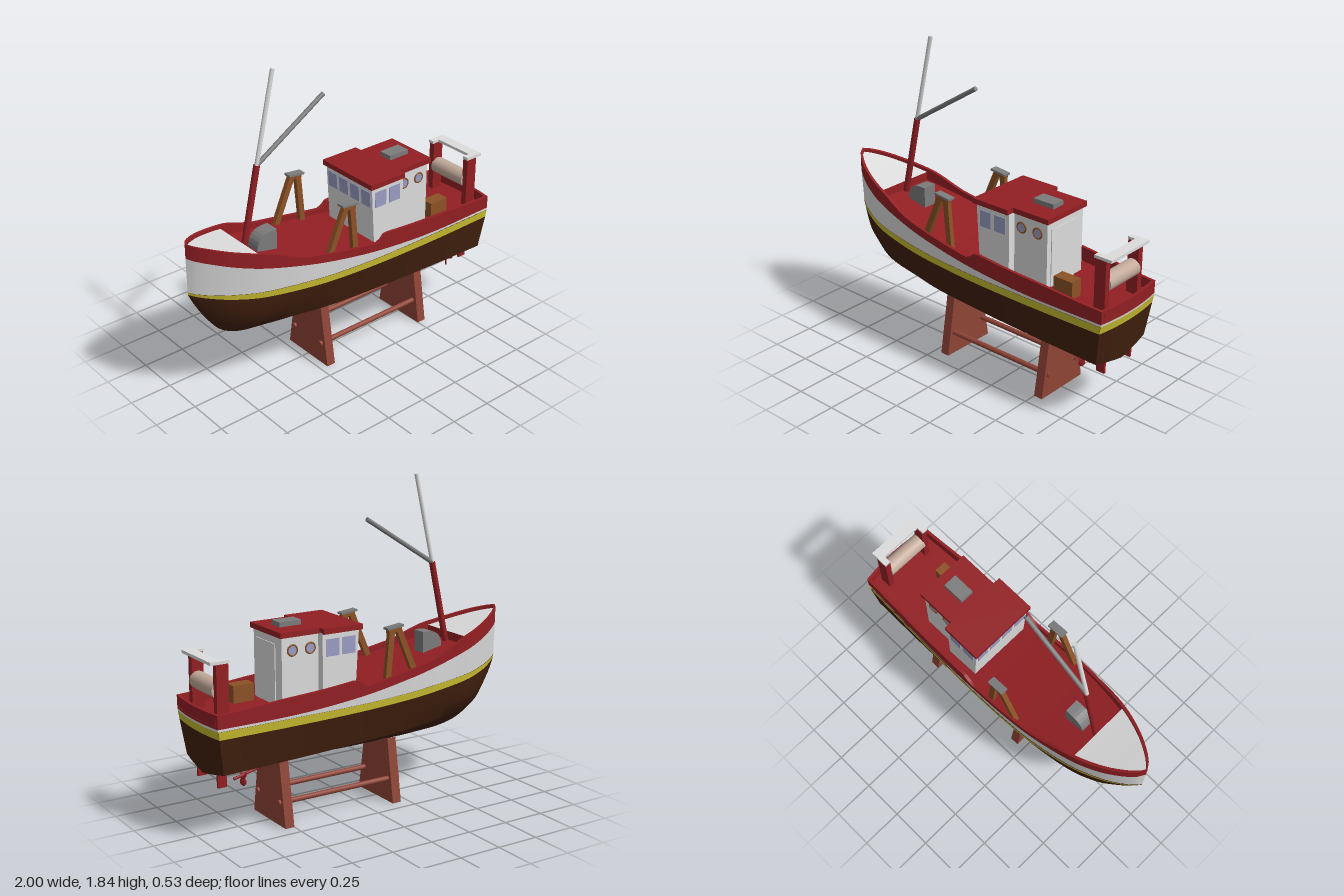
import * as THREE from 'three';
import { toCreasedNormals } from 'three/addons/utils/BufferGeometryUtils.js';

const paint = (name, color) => new THREE.MeshStandardMaterial({ name, color });
const V = (x, y, z) => new THREE.Vector3(x, y, z);

// Hull stations: x, keel y, chine y, chine z, band low y, band high y, white top y, beam z, band z
const STATIONS = [
  [-1, .725, .725, 0, .725, .74, .945, 0, 0],
  [-.97, .66, .67, .012, .715, .732, .935, .045, .032],
  [-.9, .54, .57, .035, .70, .722, .915, .10, .085],
  [-.8, .42, .49, .075, .68, .71, .885, .155, .138],
  [-.65, .355, .45, .125, .66, .695, .845, .207, .193],
  [-.4, .333, .44, .172, .642, .682, .79, .25, .242],
  [-.2, .328, .43, .20, .627, .667, .75, .264, .257],
  [.1, .326, .42, .215, .612, .653, .70, .266, .262],
  [.5, .333, .405, .22, .60, .645, .662, .257, .255],
  [1, .345, .39, .215, .59, .635, .648, .235, .235],
];

// Smooth interpolation between stations
function station(x) {
  const n = STATIONS.length;
  let i = 0;
  while (i < n - 2 && x > STATIONS[i + 1][0]) i++;
  const a = STATIONS[i], b = STATIONS[i + 1];
  const p = STATIONS[Math.max(0, i - 1)], q = STATIONS[Math.min(n - 1, i + 2)];
  const h = b[0] - a[0], t = (x - a[0]) / h, t2 = t * t, t3 = t2 * t;
  const [, keel, chine, chineZ, low, high, top, beam, bandZ] = a.map((v, k) =>
    (2 * t3 - 3 * t2 + 1) * v + (t3 - 2 * t2 + t) * h * (b[k] - p[k]) / (b[0] - p[0])
    + (3 * t2 - 2 * t3) * b[k] + (t3 - t2) * h * (q[k] - a[k]) / (q[0] - a[0]));
  // Bulwark is high at the bow, low amidships and raised again aft
  const rim = top + .085 - .037 * THREE.MathUtils.smoothstep(x, -.64, -.38)
    + .05 * THREE.MathUtils.smoothstep(x, .08, .15) - .022 * THREE.MathUtils.smoothstep(x, .5, 1);
  return { x, keel, chine, chineZ, low, high, top, beam, bandZ, rim };
}

// Hull point, with the raked and slightly rounded stern
function P(x, y, z) {
  const w = THREE.MathUtils.smoothstep(x, .5, 1);
  return V(x - w * (.16 * Math.max(0, .66 - y) + .38 * z * z), y, z);
}

// Surface through a grid of points
function skin(rows, flip) {
  const m = rows[0].length, pos = [], idx = [];
  rows.forEach(r => r.forEach(p => pos.push(p.x, p.y, p.z)));
  for (let i = 0; i < rows.length - 1; i++) for (let j = 0; j < m - 1; j++) {
    const a = i * m + j, b = a + m, c = b + 1, d = a + 1;
    idx.push(...(flip ? [a, c, b, a, d, c] : [a, b, c, a, c, d]));
  }
  const g = new THREE.BufferGeometry();
  g.setAttribute('position', new THREE.Float32BufferAttribute(pos, 3));
  g.setIndex(idx);
  return toCreasedNormals(g, .5);
}

function extrude(points, depth) {
  const g = new THREE.ExtrudeGeometry(new THREE.Shape(points.map(p => new THREE.Vector2(...p))),
    { depth, bevelEnabled: false });
  return g.translate(0, 0, -depth / 2);
}

export function createModel() {
  const boat = new THREE.Group();
  boat.name = 'fishingBoat';
  const red = paint('deck red', 0x921f23), white = paint('white', 0xdcdcdc);
  const brown = paint('hull brown', 0x41200e), yellow = paint('band yellow', 0xc6bb30);
  const wood = paint('wood', 0x8c5226), grey = paint('metal grey', 0x7c7c7c);
  const tan = paint('drum tan', 0xc2aa9a), standRed = paint('stand red brown', 0x8f4436);
  const glass = paint('window blue', 0x9a9dc4);
  [red, white, brown, yellow].forEach(m => { m.side = THREE.DoubleSide; });

  const add = (name, geo, mat, x = 0, y = 0, z = 0, parent = boat) => {
    const mesh = new THREE.Mesh(geo, mat);
    mesh.name = name;
    mesh.position.set(x, y, z);
    parent.add(mesh);
    return mesh;
  };
  // Box given by its limits
  const box = (name, mat, x0, x1, y0, y1, z0, z1) => add(name, new THREE.BoxGeometry(x1 - x0, y1 - y0, z1 - z0),
    mat, (x0 + x1) / 2, (y0 + y1) / 2, (z0 + z1) / 2);
  // Stretch a part between two points
  const between = (name, mat, a, b, make) => {
    const d = b.clone().sub(a), mid = a.clone().add(b).multiplyScalar(.5);
    const mesh = add(name, make(d.length()), mat, mid.x, mid.y, mid.z);
    mesh.quaternion.setFromUnitVectors(V(0, 1, 0), d.normalize());
  };
  const pole = (name, mat, a, b, r) => between(name, mat, a, b, l => new THREE.CylinderGeometry(r, r, l, 16));
  const beam = (name, mat, a, b, w, d) => between(name, mat, a, b, l => new THREE.BoxGeometry(w, l, d));

  // Hull sides, in coloured strips
  const xs = [-1, -.99, -.98];
  for (let i = 0; i <= 66; i++) xs.push(-.97 + 1.97 * i / 66);
  const hull = xs.map(station), T = .018;
  const deckY = s => s.top + .015;
  const strips = [
    ['hullBottom', brown, s => [[s.keel, 0], [s.chine, s.chineZ], [(s.chine + s.low) / 2, (s.chineZ + s.bandZ) / 2
      + .022 * Math.min(1, (1 + s.x) * 5) * (1 - THREE.MathUtils.smoothstep(s.x, -.7, 0))], [s.low, s.bandZ]]],
    ['waterlineBand', yellow, s => [[s.low, s.bandZ], [s.high, s.bandZ + .003]]],
    ['topsides', white, s => [[s.high, s.bandZ], [s.top, s.beam]]],
    ['bulwark', red, s => [[s.top, s.beam], [s.rim, s.beam], [s.rim, Math.max(0, s.beam - T)],
      [deckY(s), Math.max(0, s.beam - T)]]],
  ];
  for (const [name, mat, section] of strips) for (const side of [1, -1])
    add(name, skin(hull.map(s => section(s).map(([y, z]) => P(s.x, y, z * side))), side < 0), mat);

  // Transom, with the same colour strips
  const e = station(1), across = [1, .75, .5, .25, 0, -.25, -.5, -.75, -1];
  const transom = (name, mat, levels, x = 1) =>
    add(name, skin(across.map(t => levels.map(([y, z, v = 0]) => P(x, y - v * (1 - Math.abs(t)), z * t)))), mat);
  transom('transomBottom', brown, [[e.chine, e.chineZ, e.chine - e.keel], [e.chine, e.chineZ], [e.low, e.bandZ]]);
  transom('transomBand', yellow, [[e.low, e.bandZ], [e.high, e.bandZ]]);
  transom('transomTopsides', white, [[e.high, e.bandZ], [e.top, e.beam]]);
  transom('sternBulwark', red, [[e.top, e.beam], [e.rim, e.beam]]);
  transom('sternBulwarkInside', red, [[e.rim, e.beam], [deckY(e), e.beam]], 1 - T);
  add('sternBulwarkCap', skin(across.map(t => [P(1, e.rim, e.beam * t), P(1 - T, e.rim, e.beam * t)])), red);

  // Working deck and raised white foredeck
  const deckRow = (s, y) => across.map(t => P(s.x, y, Math.max(0, s.beam - T / 2) * t));
  const step = station(-.65);
  add('deck', skin([step, ...hull.filter(s => s.x > -.65)].map(s => deckRow(s, deckY(s)))), red);
  add('foredeck', skin([...hull.filter(s => s.x < -.65), step].map(s => deckRow(s, s.rim - .02))), white);
  add('foredeckBulkhead', skin([deckRow(step, step.rim - .02), deckRow(step, deckY(step))]), red);

  // Mast, topmast and boom
  pole('mast', red, V(-.64, .84, 0), V(-.532, 1.33, 0), .018);
  pole('topmast', white, V(-.535, 1.32, 0), V(-.415, 1.84, 0), .012);
  pole('boom', grey, V(-.53, 1.33, 0), V(-.085, 1.61, 0), .013);

  // Winch housing with a rounded forward side
  const hood = [[-.445, .79], [-.445, .937], [-.49, .937]];
  for (let i = 1; i <= 6; i++) {
    const a = i / 6 * Math.PI / 2;
    hood.push([-.49 - .085 * Math.sin(a), .852 + .085 * Math.cos(a)]);
  }
  add('winchHousing', extrude([...hood, [-.575, .79]], .085), grey, 0, 0, -.0);

  // Gallows on both sides
  for (const s of [1, -1]) {
    const z = s * .235;
    beam('gallowsSlantedLeg', wood, V(-.25, .76, z), V(-.13, 1.04, z), .035, .028);
    beam('gallowsUprightLeg', wood, V(-.06, .73, z), V(-.088, 1.04, z), .035, .028);
    beam('gallowsHead', wood, V(-.15, 1.037, z), V(-.065, 1.027, z), .02, .03);
    beam('gallowsCap', grey, V(-.16, 1.055, s * .232), V(-.055, 1.043, s * .232), .012, .046);
  }

  // Wheelhouse: wide raked front part and narrower rear part
  add('wheelhouseFront', extrude([[.12, .66], [.325, .66], [.325, 1.06], [.095, 1.06]], .39), white);
  box('wheelhouseRear', white, .32, .55, .65, 1.06, -.15, .15);
  box('frontRoof', red, .08, .325, 1.055, 1.085, -.21, .21);
  box('rearRoof', red, .325, .565, 1.055, 1.085, -.165, .165);
  box('roofHatch', grey, .365, .5, 1.085, 1.112, -.042, .042);
  box('wheelhouseDoor', white, .549, .555, .67, 1.01, -.083, .117);
  for (const s of [1, -1]) {
    for (const x of [.16, .262]) add('sideWindow', new THREE.BoxGeometry(.078, .095, .006), glass, x, .977, s * .196);
    for (const x of [.375, .485]) {
      add('portholeRing', new THREE.TorusGeometry(.029, .005, 8, 24), wood, x, .98, s * .151);
      const pane = add('portholeGlass', new THREE.CylinderGeometry(.028, .028, .004, 24), glass, x, .98, s * .151);
      pane.rotation.x = Math.PI / 2;
    }
  }
  for (let i = 0; i < 4; i++) {
    const pane = add('frontWindow', new THREE.BoxGeometry(.006, .095, .075), glass, .1, .977, (i - 1.5) * .095);
    pane.rotation.z = Math.atan(.025 / .4);
  }

  // Fish box on the aft deck
  box('fishBox', wood, .597, .722, .66, .768, .075, .15);

  // Stern gantry with its net drum
  for (const s of [1, -1]) {
    box('gantryPost', red, .87, .94, .645, .97, s * .142 - .018, s * .142 + .018);
    box('gantryTopArm', white, .865, .912, .968, .985, s * .145 - .018, s * .145 + .018);
  }
  box('gantryTopBar', white, .91, .975, .968, .985, -.163, .163);
  add('netDrum', new THREE.CylinderGeometry(.048, .048, .256, 28), tan, .905, .822, 0).rotation.x = Math.PI / 2;

  // Propellers, shafts and rudders
  for (const s of [1, -1]) {
    const z = s * .115;
    pole('propellerShaft', red, V(.64, .37, z), V(.83, .322, z), .008);
    const prop = new THREE.Group();
    prop.name = 'propeller';
    prop.position.set(.775, .325, z);
    boat.add(prop);
    add('propellerHub', new THREE.SphereGeometry(.014, 12, 8), red, 0, 0, 0, prop);
    for (let i = 0; i < 3; i++) {
      const arm = new THREE.Group();
      arm.name = 'propellerBlade';
      arm.rotation.x = i * Math.PI * 2 / 3 + Math.PI;
      prop.add(arm);
      const blade = add('blade', new THREE.SphereGeometry(1, 12, 8), red, 0, .028, 0, arm);
      blade.scale.set(.005, .024, .019);
      blade.rotation.y = .7 * s;
    }
    box('rudder', red, .875, .927, .29, .385, z - .007, z + .007);
  }

  // Display stand: two notched cradles joined by rods
  for (const x of [-.178, .527]) {
    const cradle = extrude([[-.175, 0], [.175, 0], [.115, .372], [0, .33], [-.115, .372]], .055);
    add('standCradle', cradle.rotateY(Math.PI / 2), standRed, x, 0, 0);
  }
  for (const s of [1, -1]) pole('standRod', standRed, V(-.22, .135, s * .12), V(.567, .135, s * .12), .015);
  return boat;
}
